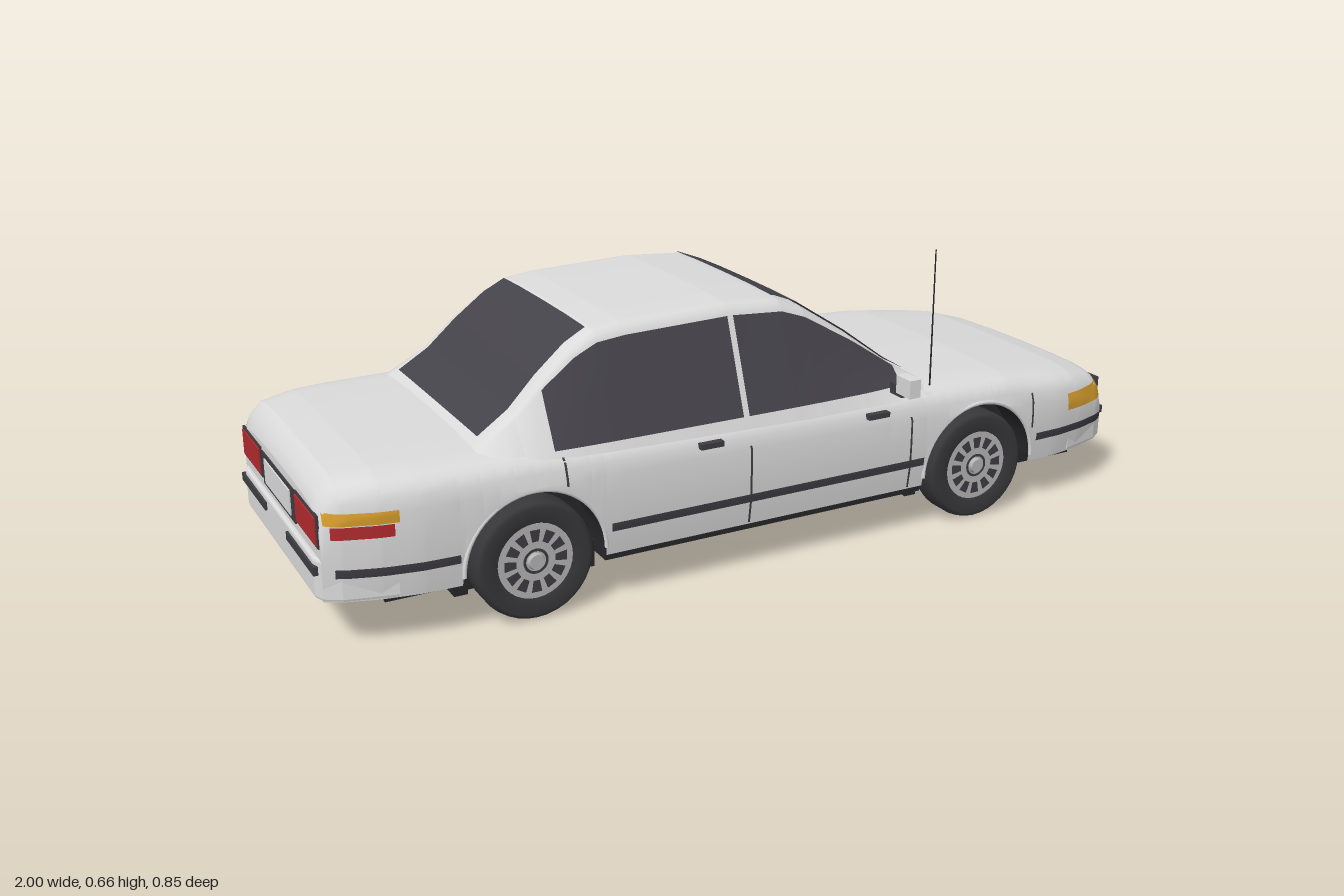
import * as THREE from 'three';

const mat = (name, color, side = THREE.FrontSide) => {
  const m = new THREE.MeshStandardMaterial({ color, side });
  m.name = name;
  return m;
};

// Piecewise-linear lookup in a [[x, value], ...] table
function look(table, x) {
  if (x <= table[0][0]) return table[0][1];
  for (let i = 1; i < table.length; i++) {
    const [x0, v0] = table[i - 1], [x1, v1] = table[i];
    if (x <= x1) return v0 + (v1 - v0) * (x - x0) / (x1 - x0);
  }
  return table[table.length - 1][1];
}
const range = (a, b, n) => Array.from({ length: n + 1 }, (_, i) => a + (b - a) * i / n);
const sorted = list => [...new Set(list.map(v => +v.toFixed(5)))].sort((a, b) => a - b);

// Surface from rows of points, smooth shaded
function loft(rows) {
  const n = rows[0].length, pos = rows.flat(2), idx = [];
  for (let i = 0; i + 1 < rows.length; i++) for (let j = 0; j + 1 < n; j++) {
    const a = i * n + j, b = a + n;
    idx.push(a, b, b + 1, a, b + 1, a + 1);
  }
  const g = new THREE.BufferGeometry();
  g.setAttribute('position', new THREE.Float32BufferAttribute(pos, 3));
  g.setIndex(idx);
  g.computeVertexNormals();
  return g;
}
// Half section (+z side up to the centre) mirrored over to -z
const fullSection = half => [...half, ...half.slice(0, -1).reverse().map(([x, y, z]) => [x, y, -z])];

const AXLES = [-0.56, 0.56], HUB = 0.13, ARCH = 0.157, SILL = 0.11;
const deckTop = [[-0.985, 0.305], [-0.975, 0.335], [-0.945, 0.358], [-0.87, 0.365], [-0.6, 0.365], [0.3, 0.352],
  [0.65, 0.337], [0.865, 0.31], [0.94, 0.29], [0.965, 0.28], [0.978, 0.268]];
const halfWidth = [[-0.985, 0.298], [-0.95, 0.317], [-0.88, 0.34], [-0.8, 0.354], [-0.6, 0.362], [0.6, 0.362],
  [0.8, 0.354], [0.88, 0.34], [0.95, 0.317], [0.978, 0.298]];
const shoulder = [[0, 0.1], [0.004, 0.065], [0.012, 0.035], [0.03, 0.013], [0.07, 0]];
const roofLine = [[-0.68, 0.345], [-0.645, 0.373], [-0.565, 0.425], [-0.5, 0.488], [-0.43, 0.545], [-0.375, 0.574],
  [-0.31, 0.582], [-0.06, 0.59], [0.07, 0.58], [0.13, 0.556], [0.25, 0.476], [0.355, 0.396], [0.41, 0.362], [0.44, 0.343]];
const BELT = 0.325;

function bottomAt(x) {
  for (const a of AXLES) {
    const d = Math.abs(x - a);
    if (d < ARCH + 0.0003) return HUB + Math.sqrt(Math.max(0, ARCH * ARCH - d * d));
  }
  return SILL;
}
const bodyZ = (x, y) => look(halfWidth, x) - look(shoulder, look(deckTop, x) - y) - Math.max(0, 0.18 - y) * 0.15;

function bodySection(x) {
  const t = look(deckTop, x), b = bottomAt(x), w = look(halfWidth, x);
  const ys = [0, 0.33, 0.66, 1].map(f => SILL + (t - 0.07 - SILL) * f);
  ys.push(t - 0.045, t - 0.03, t - 0.02, t - 0.012, t - 0.004, t);
  const half = ys.map(y => { const q = Math.max(b, y); return [x, q, bodyZ(x, q)]; });
  half.push([x, t + 0.003, w * 0.4], [x, t + 0.004, 0]);
  return fullSection(half);
}

// Cabin: sloped side wall, rounded roof edge and crowned top
function cabinDims(x) {
  const h = look(roofLine, x) - BELT, ze = 0.285 - 0.03 * Math.min(1, h / 0.24);
  return { h, ze, wallTop: BELT + 0.88 * h, wallZ: ze + 0.008 };
}
function cabinSection(x) {
  const { h, ze, wallTop, wallZ } = cabinDims(x);
  return fullSection([[x, BELT, 0.349], [x, wallTop, wallZ], [x, BELT + 0.94 * h, ze - 0.003], [x, BELT + 0.97 * h, ze - 0.015],
    [x, BELT + 0.985 * h, ze - 0.032], [x, BELT + 0.997 * h, ze * 0.5], [x, BELT + h, 0]]);
}
const cabinZ = (x, y) => { const c = cabinDims(x); return 0.349 + (c.wallZ - 0.349) * (y - BELT) / (c.wallTop - BELT); };

export function createModel() {
  const car = new THREE.Group();
  car.name = 'sedan';
  const M = {
    body: mat('body paint', 0xdadada, THREE.DoubleSide),
    glass: mat('dark glass', 0x45434a, THREE.DoubleSide),
    trim: mat('dark trim', 0x3e3c42, THREE.DoubleSide),
    under: mat('underbody black', 0x26262a, THREE.DoubleSide),
    tire: mat('tire rubber', 0x37373a),
    rim: mat('rim grey', 0xb4b4b4),
    amber: mat('amber lamp', 0xd29a2c, THREE.DoubleSide),
    red: mat('red lamp', 0xb02a2e, THREE.DoubleSide),
  };
  const add = (name, geo, m, parent = car) => {
    const mesh = new THREE.Mesh(geo, m);
    mesh.name = name;
    parent.add(mesh);
    return mesh;
  };
  const box = (name, m, x0, x1, y0, y1, z0, z1) => add(name,
    new THREE.BoxGeometry(x1 - x0, y1 - y0, Math.abs(z1 - z0)).translate((x0 + x1) / 2, (y0 + y1) / 2, (z0 + z1) / 2), m);
  const pair = (name, m, x0, x1, y0, y1, z0, z1) => [1, -1].forEach(s => box(name, m, x0, x1, y0, y1, s * z0, s * z1));
  // Thin plate that follows the body side, on both sides
  const sidePlate = (name, m, x0, x1, y0, y1, lift = 0.003) => [1, -1].forEach(s => {
    const rows = range(x0, x1, 10).map(x => range(y0, y1, 4).map(y => [x, y, s * (bodyZ(x, y) + lift)]));
    add(name, loft(s > 0 ? rows : rows.reverse()), m);
  });

  // Body shell with wheel arches and closed ends
  const stations = sorted([...range(-0.985, 0.978, 50), ...deckTop.map(p => p[0]), ...halfWidth.map(p => p[0]),
    ...AXLES.flatMap(a => [...range(0, Math.PI, 24).map(t => a + ARCH * Math.cos(t)), a - ARCH - 0.0006, a + ARCH + 0.0006])]);
  add('bodyShell', loft(stations.map(bodySection)), M.body);
  const front = bodySection(0.978), rear = bodySection(-0.985);
  add('nosePanel', loft([front, front.map(() => [0.978, 0.2, 0])]), M.body);
  add('tailPanel', loft([rear.map(() => [-0.985, 0.2, 0]), rear]), M.body);

  // Cabin and its glass
  const cabinXs = sorted([...range(-0.68, 0.44, 40), ...roofLine.map(p => p[0])]);
  add('cabin', loft(cabinXs.map(cabinSection)), M.body);
  const screen = (name, x0, x1, dx) => {
    const xs = sorted([...range(x0, x1, 12), ...roofLine.map(p => p[0]).filter(x => x > x0 && x < x1)]);
    add(name, loft(xs.map(x => cabinSection(x).slice(4, 9).map(([a, y, z]) => [a + dx, y + 0.003, z]))), M.glass);
  };
  screen('windshield', 0.065, 0.412, 0.002);
  screen('rearWindow', -0.635, -0.38, -0.002);
  for (const [name, x0, x1] of [['rearSideWindow', -0.505, -0.067], ['frontSideWindow', -0.053, 0.355]]) {
    const xs = sorted([...range(x0, x1, 14), ...roofLine.map(p => p[0]).filter(x => x > x0 && x < x1)]);
    for (const s of [1, -1]) {
      const rows = xs.map(x => range(0.355, cabinDims(x).wallTop + 0.003, 4).map(y => [x, y, s * (cabinZ(x, y) + 0.003)]));
      add(name, loft(s > 0 ? rows : rows.reverse()), M.glass);
    }
  }

  // Bumpers: tapered plan extruded upwards, with rubber strips
  for (const s of [1, -1]) {
    const plan = new THREE.Shape([[0.85, -0.335], [0.95, -0.308], [0.982, -0.288], [0.99, -0.265],
      [0.99, 0.265], [0.982, 0.288], [0.95, 0.308], [0.85, 0.335]].map(([x, z]) => new THREE.Vector2(x, z)));
    const g = new THREE.ExtrudeGeometry(plan, { depth: 0.076, bevelSize: 0.005, bevelThickness: 0.006, bevelSegments: 2 });
    g.rotateX(-Math.PI / 2).translate(0, 0.118, 0);
    const bumper = add(s > 0 ? 'frontBumper' : 'rearBumper', g, M.body);
    if (s < 0) bumper.rotation.y = Math.PI;
    pair('bumperStrip', M.trim, s > 0 ? 0.99 : -1, s > 0 ? 1 : -0.99, 0.168, 0.186, 0.085, 0.285);
  }

  // Side rubbing strips, sill, door gaps and handles
  sidePlate('sideStrip', M.trim, -0.395, 0.395, 0.167, 0.186, 0.006);
  sidePlate('sideStrip', M.trim, 0.725, 0.965, 0.167, 0.186, 0.008);
  sidePlate('sideStrip', M.trim, -0.965, -0.725, 0.167, 0.186, 0.008);
  for (const [x, y0, y1] of [[-0.06, 0.115, 0.345], [0.36, 0.115, 0.335], [-0.49, 0.285, 0.345], [0.715, 0.2, 0.285]])
    sidePlate('panelGap', M.trim, x - 0.0025, x + 0.0025, y0, y1, 0.002);
  pair('doorHandle', M.trim, -0.185, -0.13, 0.309, 0.321, 0.345, 0.368);
  pair('doorHandle', M.trim, 0.24, 0.295, 0.302, 0.314, 0.345, 0.368);

  // Corner lamps
  sidePlate('turnSignal', M.amber, 0.83, 0.972, 0.222, 0.262);
  sidePlate('rearSideAmber', M.amber, -0.978, -0.84, 0.275, 0.3);
  sidePlate('rearSideRed', M.red, -0.968, -0.85, 0.247, 0.273);

  // Front lamps and grille
  pair('headlampFrame', M.trim, 0.976, 0.981, 0.218, 0.264, 0.108, 0.284);
  pair('headlamp', M.body, 0.978, 0.984, 0.221, 0.261, 0.112, 0.281);
  pair('grille', M.trim, 0.976, 0.982, 0.226, 0.256, 0.02, 0.105);
  for (const y of [0.234, 0.247]) pair('grilleBar', M.body, 0.978, 0.985, y - 0.0015, y + 0.0015, 0.026, 0.1);

  // Tail lamps and plate
  pair('tailLampFrame', M.trim, -0.988, -0.983, 0.224, 0.294, 0.135, 0.29);
  pair('tailLamp', M.red, -0.991, -0.985, 0.23, 0.288, 0.142, 0.284);
  box('plateRecess', M.trim, -0.988, -0.983, 0.215, 0.29, -0.125, 0.125);
  box('plate', M.body, -0.991, -0.985, 0.225, 0.28, -0.1, 0.1);

  // Mirrors and aerial
  pair('mirrorMount', M.trim, 0.315, 0.345, 0.347, 0.372, 0.335, 0.38);
  pair('mirror', M.body, 0.303, 0.332, 0.36, 0.402, 0.375, 0.427);
  add('aerial', new THREE.CylinderGeometry(0.0015, 0.002, 0.32, 6).translate(0.44, 0.498, 0.315), M.under);

  // Underbody
  box('floor', M.under, -0.402, 0.402, 0.095, 0.13, -0.345, 0.345);
  box('frontFloor', M.under, 0.7, 0.87, 0.095, 0.13, -0.315, 0.315);
  box('rearFloor', M.under, -0.87, -0.7, 0.095, 0.13, -0.315, 0.315);
  for (const x of AXLES) {
    box('axleHousing', M.under, x - 0.155, x + 0.155, 0.06, 0.28, -0.27, 0.27);
    for (const dx of [-0.143, 0.143]) box('splashGuard', M.under, x + dx - 0.015, x + dx + 0.015, 0.06, 0.12, -0.29, 0.29);
  }

  // Wheels, wells and arch lips
  const tireProfile = [[0.082, -0.036], [0.118, -0.04], [0.127, -0.034], [0.13, -0.022], [0.13, 0.022], [0.127, 0.034],
    [0.118, 0.04], [0.085, 0.037], [0.082, 0.03]].map(([r, y]) => new THREE.Vector2(r, y));
  for (const x of AXLES) for (const s of [1, -1]) {
    const wheel = new THREE.Group();
    wheel.name = 'wheel';
    wheel.position.set(x, HUB, s * 0.315);
    if (s < 0) wheel.rotation.y = Math.PI;
    car.add(wheel);
    add('tire', new THREE.LatheGeometry(tireProfile, 36).rotateX(Math.PI / 2), M.tire, wheel);
    add('rimDisc', new THREE.CylinderGeometry(0.083, 0.083, 0.066, 32).rotateX(Math.PI / 2), M.rim, wheel);
    for (let i = 0; i < 12; i++) {
      const a = i * Math.PI / 6;
      const slot = new THREE.Shape([[0.043, -0.007], [0.069, -0.0115], [0.069, 0.0115], [0.043, 0.007]].map(p => new THREE.Vector2(...p)));
      add('rimSlot', new THREE.ShapeGeometry(slot).rotateZ(a).translate(0, 0, 0.0345), M.trim, wheel);
    }
    add('hubRing', new THREE.RingGeometry(0.022, 0.028, 24).translate(0, 0, 0.0345), M.trim, wheel);
    add('hubCap', new THREE.CylinderGeometry(0.016, 0.02, 0.01, 16).rotateX(Math.PI / 2).translate(0, 0, 0.036), M.rim, wheel);
    add('wheelWell', new THREE.CylinderGeometry(ARCH - 0.001, ARCH - 0.001, 0.09, 24, 1, true, Math.PI / 2, Math.PI)
      .rotateX(Math.PI / 2).translate(x, HUB, s * 0.305), M.under);
    add('archLip', new THREE.TorusGeometry(ARCH, 0.005, 6, 28, Math.PI).translate(x, HUB, s * 0.356), M.body);
  }
  return car;
}
